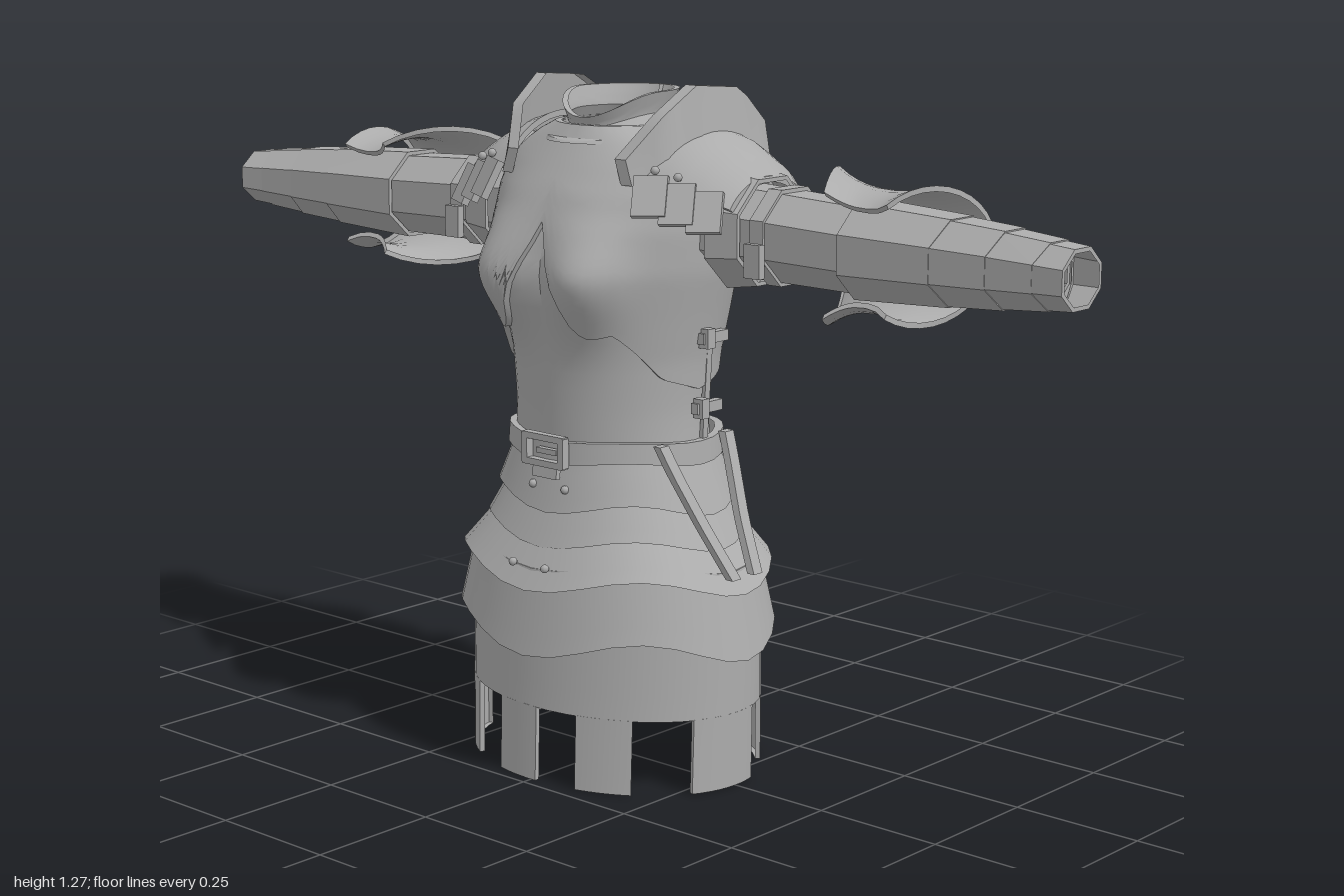
import * as THREE from 'three';
import { toCreasedNormals } from 'three/addons/utils/BufferGeometryUtils.js';

const steel = new THREE.MeshStandardMaterial({ color: 0xacacac, side: THREE.DoubleSide });
steel.name = 'grey steel';
const { sin, cos, abs, exp, PI } = Math;
const rad = (d) => d * PI / 180;
const mix = (a, b, t) => a + (b - a) * t;

// Interpolates rows of [key, ...values].
function table(rows, k) {
  let i = 0;
  while (i < rows.length - 2 && k > rows[i + 1][0]) i++;
  const a = rows[i], b = rows[i + 1];
  const t = THREE.MathUtils.clamp((k - a[0]) / (b[0] - a[0]), 0, 1);
  return a.slice(1).map((v, j) => mix(v, b[j + 1], t));
}

function add(parent, name, geometry) {
  const m = new THREE.Mesh(geometry, steel);
  m.name = name;
  parent.add(m);
  return m;
}

// Curved plate from f(u, v, depth), with rims folded back to depth 0.
function plate(parent, name, f, nu, nv, thick = 0.012) {
  const pos = [], idx = [], w = nu + 3;
  for (let j = -1; j <= nv + 1; j++) for (let i = -1; i <= nu + 1; i++) {
    const rim = i < 0 || j < 0 || i > nu || j > nv;
    const u = THREE.MathUtils.clamp(i / nu, 0, 1), v = THREE.MathUtils.clamp(j / nv, 0, 1);
    pos.push(...f(u, v, rim ? 0 : thick));
  }
  for (let j = 0; j < nv + 2; j++) for (let i = 0; i < nu + 2; i++) {
    const a = j * w + i, b = a + 1, c = a + w, d = c + 1;
    idx.push(a, b, d, a, d, c);
  }
  const g = new THREE.BufferGeometry();
  g.setAttribute('position', new THREE.Float32BufferAttribute(pos, 3));
  g.setIndex(idx);
  return add(parent, name, toCreasedNormals(g, 0.6));
}

function box(parent, name, size, at, rot = [0, 0, 0]) {
  const m = add(parent, name, new THREE.BoxGeometry(...size));
  m.position.set(...at);
  m.rotation.set(...rot);
  return m;
}

function rivet(parent, x, y, z) {
  add(parent, 'rivet', new THREE.SphereGeometry(0.008, 8, 6)).position.set(x, y, z);
}

// Torso rows: height, half width, front depth, back depth.
const TORSO = [
  [0.60, 0.198, 0.165, 0.145], [0.70, 0.191, 0.170, 0.150], [0.80, 0.197, 0.176, 0.170],
  [0.88, 0.211, 0.184, 0.190], [0.96, 0.227, 0.190, 0.200], [1.04, 0.232, 0.180, 0.210],
  [1.10, 0.225, 0.160, 0.225], [1.15, 0.205, 0.130, 0.205], [1.19, 0.155, 0.105, 0.165],
  [1.215, 0.10, 0.09, 0.12],
];
function torso(th, y, d) {
  const [w, f, b] = table(TORSO, y);
  const bust = 0.052 * exp(-(((abs(th) - 0.4) / 0.32) ** 2) - ((y - 0.95) / 0.09) ** 2);
  const c = cos(th), e = d + bust;
  return [sin(th) * (w + e), y, c * ((c > 0 ? f : b) + e)];
}
// Lower edge of the breastplate by angle from the front.
const EDGE = [[0, 1.05], [6, 0.99], [13, 0.92], [20, 0.86], [27, 0.845], [38, 0.855], [50, 0.82],
  [65, 0.77], [90, 0.745], [125, 0.77], [155, 0.80], [180, 0.76]];

// Elliptical skirt band; the lower edge dips at front, back and sides.
function band(parent, name, top, bottom, wave, range = [-180, 180], thick = 0.012, n = 32) {
  plate(parent, name, (u, v, d) => {
    const th = rad(mix(range[0], range[1], u));
    const y = mix(bottom[0], top[0], v) - wave * (1 - 0.5 * v) * cos(4 * th);
    return [sin(th) * (mix(bottom[1], top[1], v) + d - thick), y,
      cos(th) * (mix(bottom[2], top[2], v) + d - thick) - 0.004];
  }, n, 4, thick);
}

// Eight-sided arm section running along x; rows are [x, ry, rz, cy, cz].
function sleeve(parent, name, a, b, point = 0) {
  plate(parent, name, (u, v, d) => {
    const an = u * 2 * PI + PI / 8;
    const [x, ry, rz, cy, cz] = a.map((q, i) => mix(q, b[i], v));
    return [x + point * abs(cos(an)) * v, cy + (ry + d - 0.008) * cos(an), cz + (rz + d - 0.008) * sin(an)];
  }, 8, 1, 0.008);
}

function buildArm(parent) {
  sleeve(parent, 'upperArm', [0.2, 0.088, 0.09, 1.04, -0.045], [0.58, 0.08, 0.085, 1.03, -0.04]);
  sleeve(parent, 'shoulderCuff', [0.27, 0.112, 0.118, 1.04, -0.045], [0.335, 0.102, 0.105, 1.04, -0.045]);
  sleeve(parent, 'armStrap', [0.355, 0.092, 0.095, 1.035, -0.045], [0.385, 0.092, 0.095, 1.035, -0.045]);
  box(parent, 'strapBuckle', [0.035, 0.06, 0.015], [0.37, 1.0, 0.048]);
  const lames = [[0.55, 0.086, 0.092], [0.73, 0.075, 0.08], [0.84, 0.066, 0.07], [0.93, 0.056, 0.062], [0.997, 0.05, 0.057]];
  for (let i = 0; i < 4; i++) {
    const [x0, ry, rz] = lames[i], [x1, ry1, rz1] = lames[i + 1];
    sleeve(parent, 'forearmLame', [x0, ry + 0.004, rz + 0.004, 1.03, mix(-0.04, -0.015, i / 4)],
      [x1, ry1 + 0.005, rz1 + 0.005, 1.03, mix(-0.04, -0.015, (i + 1) / 4)], i < 3 ? 0.02 : 0);
  }
  // Flared elbow guard, open at the front
  const flare = [[0, 1.3], [0.15, 1.12], [0.35, 1.0], [0.6, 0.98], [0.8, 1.02], [1, 1.14]];
  plate(parent, 'elbowGuard', (u, v, d) => {
    const a = rad(mix(-217, 37, u)), w = (sin(a) + 1) / 2, [k] = table(flare, v);
    const x = mix(0.38 + 0.2 * w, 0.71 - 0.06 * w, v);
    return [x, 1.03 + (0.097 * k + d) * cos(a), -0.035 + (0.13 * k + d) * sin(a)];
  }, 24, 10, 0.01);
}

function buildShoulder(parent) {
  // Domed shoulder plate, reaching lower at the back
  const dome = [[0, 0.17, 0.178, 0.175], [0.4, 0.23, 0.158, 0.165], [0.75, 0.29, 0.125, 0.14], [1, 0.325, 0.095, 0.112]];
  plate(parent, 'pauldron', (u, v, d) => {
    const a = rad(mix(-125, 58, u)), [x, ry, rz] = table(dome, v);
    return [x, 1.03 + (ry + d) * cos(a), -0.045 + (rz + d) * sin(a)];
  }, 24, 8, 0.012);
  // Raised crest guarding the neck: [t, x, yTop, yBottom, z]
  const crest = [[0, 0.13, 1.165, 1.12, 0.13], [0.2, 0.17, 1.24, 1.15, 0.075], [0.4, 0.182, 1.29, 1.18, 0.0],
    [0.62, 0.187, 1.28, 1.18, -0.115], [0.82, 0.178, 1.205, 1.13, -0.205], [1, 0.14, 1.1, 1.05, -0.25]];
  plate(parent, 'shoulderCrest', (u, v, d) => {
    const [x, y1, y0, z] = table(crest, u);
    return [x + d - 0.012 + 0.015 * (1 - v), mix(y0, y1, v), z];
  }, 15, 3, 0.026);
  // Overlapping plates across the front of the armpit
  for (let i = 0; i < 3; i++) {
    box(parent, 'frontLame', [0.062, 0.075, 0.014], [0.2 + i * 0.046, 1.105 - i * 0.012, 0.128 - i * 0.02], [-0.5, 0.4, 0.25]);
  }
  rivet(parent, 0.2, 1.15, 0.115);
  rivet(parent, 0.24, 1.14, 0.1);
  // Side fastening of the breastplate
  const sideX = (y) => torso(PI / 2, y, 0.012)[0];
  box(parent, 'sideSeam', [0.008, 0.29, 0.014], [sideX(0.77) - 0.004, 0.77, -0.025], [0, 0, -0.06]);
  for (const y of [0.71, 0.84]) {
    box(parent, 'sideStrap', [0.016, 0.02, 0.07], [sideX(y) + 0.004, y, -0.02]);
    box(parent, 'sideBuckle', [0.022, 0.036, 0.02], [sideX(y) + 0.008, y, 0.0]);
  }
}

export function createModel() {
  const model = new THREE.Group();
  model.name = 'armour';

  // Torso and breastplate
  plate(model, 'waist', (u, v, d) => torso(mix(-PI, PI, u), mix(0.6, 1.07, v), d - 0.004), 48, 16, 0.004);
  plate(model, 'breastplate', (u, v, d) => {
    const th = mix(-PI, PI, u);
    return torso(th, mix(table(EDGE, abs(th) * 180 / PI)[0], 1.215, v), d);
  }, 96, 24, 0.012);

  // Gorget with a dip at the front
  const neck = [[0, 0.125, 1.185], [0.2, 0.122, 1.2], [0.25, 0.105, 1.205], [0.6, 0.088, 1.235], [1, 0.1, 1.272]];
  plate(model, 'gorget', (u, v, d) => {
    const th = mix(-PI, PI, u), [r, y] = table(neck, v), front = Math.max(0, cos(th));
    return [sin(th) * (r + d - 0.01), y - 0.045 * v * front ** 2,
      cos(th) * (r + d - 0.015 * v * front) * 1.1 - 0.014];
  }, 32, 12, 0.01);
  const lining = add(model, 'neckLining', new THREE.CircleGeometry(0.118, 24));
  lining.rotation.x = -PI / 2;
  lining.position.set(0, 1.2, -0.012);

  // Belt and hip plates
  band(model, 'belt', [0.652, 0.21, 0.184], [0.612, 0.213, 0.186], 0.006, [-180, 180], 0.016);
  band(model, 'hipLame', [0.615, 0.204, 0.172], [0.53, 0.24, 0.194], 0.014, [-180, 180], 0.016);
  band(model, 'hipLame', [0.565, 0.205, 0.168], [0.468, 0.262, 0.21], 0.014, [-180, 180], 0.016);
  band(model, 'hipPlate', [0.498, 0.232, 0.188], [0.4, 0.317, 0.25], 0.02, [-180, 180], 0.018);
  band(model, 'hipPlate', [0.43, 0.290, 0.230], [0.282, 0.325, 0.255], 0.024, [-180, 180], 0.018);

  // Skirt with square notches cut from the hem
  band(model, 'skirt', [0.34, 0.302, 0.222], [0.155, 0.302, 0.23], 0, [-180, 180], 0.01, 48);
  const tabs = [[-17, 2], [19, 41], [66, 102], [127, 158], [178, 202], [222, 262], [282, 323]];
  for (const t of tabs) band(model, 'skirtTab', [0.156, 0.302, 0.23], [0.015, 0.3, 0.234], 0, t, 0.01, 8);

  // Front buckle
  for (const s of [-1, 1]) {
    box(model, 'buckleSide', [0.014, 0.055, 0.016], [s * 0.045, 0.632, 0.188]);
    box(model, 'buckleBar', [0.1, 0.012, 0.016], [0, 0.632 + s * 0.024, 0.188]);
  }
  box(model, 'buckleTongue', [0.05, 0.01, 0.012], [0.01, 0.632, 0.19]);
  box(model, 'beltEnd', [0.06, 0.03, 0.01], [0, 0.595, 0.184], [-0.15, 0, 0]);

  // Hanging straps on the left hip
  for (const [z0, z1] of [[0.1, 0.03], [-0.08, -0.03]]) {
    const line = [[0, 0.318, 0.415, z1], [0.45, 0.268, 0.51, mix(z1, z0, 0.4)], [0.85, 0.224, 0.61, mix(z1, z0, 0.85)], [1, 0.205, 0.655, z0]];
    plate(model, 'hangingStrap', (u, v, d) => {
      const [x, y, z] = table(line, v);
      return [x - 0.01 + d, y, z + mix(0.012, -0.012, u)];
    }, 1, 10, 0.016);
  }

  // Rivets on the hip plates and upper back
  for (const s of [-0.04, 0.04]) {
    for (const f of [1, -1]) {
      rivet(model, s, 0.562, f * 0.182 - 0.004);
      rivet(model, s, 0.425, f * 0.236 - 0.004);
    }
    rivet(model, s, 1.11, -0.232);
  }

  // Both arms and shoulders, the right side mirrored
  for (const s of [1, -1]) {
    const side = new THREE.Group();
    side.name = s > 0 ? 'leftArm' : 'rightArm';
    side.scale.x = s;
    buildArm(side);
    buildShoulder(side);
    model.add(side);
  }
  return model;
}
